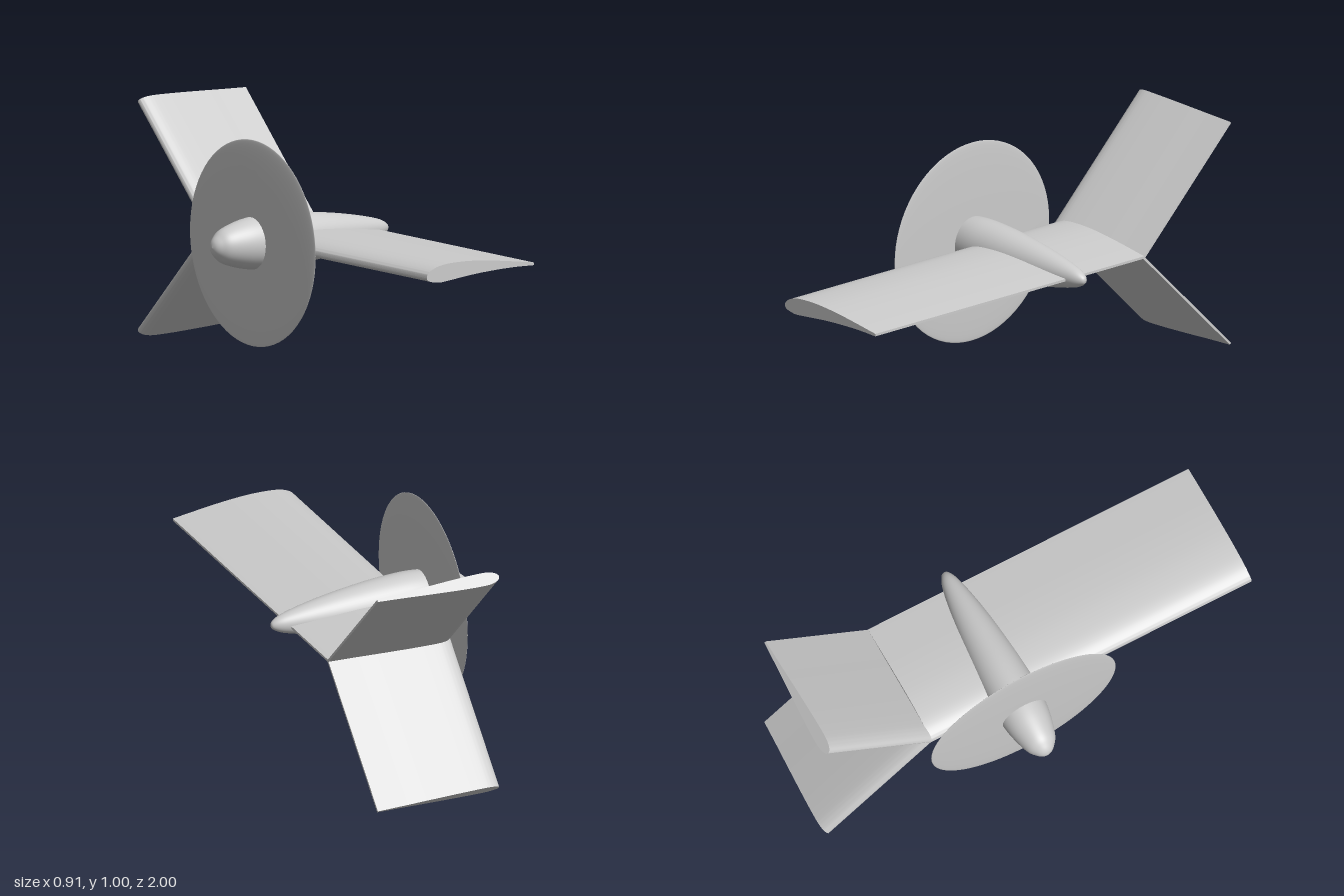
import * as THREE from 'three';
import { toCreasedNormals } from 'three/addons/utils/BufferGeometryUtils.js';

const material = new THREE.MeshStandardMaterial({ color: 0xcccccc });

function mesh(name, geometry) {
  const m = new THREE.Mesh(geometry, material);
  m.name = name;
  return m;
}

// Constant-section foil: outline runs upper trailing edge -> nose -> lower trailing edge
function foil(points, span) {
  const outline = points.map(([x, y]) => new THREE.Vector2(x, y));
  const shape = new THREE.Shape(new THREE.SplineCurve(outline).getPoints(72));
  const geometry = new THREE.ExtrudeGeometry(shape, { depth: span, bevelEnabled: false });
  return toCreasedNormals(geometry, 0.7);
}

export function createModel() {
  const group = new THREE.Group();
  group.name = 'turbine';
  const axisY = 0.504, jointZ = -0.498;
  const hubY = 0.511, hubZ = -0.103;

  // Cambered main wing
  const wing = mesh('mainWing', foil([
    [0.378, 0.008], [0.365, 0.010], [0.245, 0.027], [0.139, 0.040], [0.032, 0.048],
    [-0.061, 0.047], [-0.115, 0.040], [-0.15, 0.027], [-0.169, 0.013], [-0.176, -0.002],
    [-0.165, -0.018], [-0.115, -0.028], [-0.061, -0.024], [0.072, -0.010],
    [0.192, -0.003], [0.285, -0.001], [0.378, -0.003],
  ], 1 - jointZ));
  wing.position.set(0, axisY, jointZ);
  group.add(wing);

  // Two symmetric tail fins forming a V behind the wing
  const half = [[0.378, 0.005], [0.26, 0.011], [0.15, 0.018], [0, 0.026],
    [-0.1, 0.0285], [-0.14, 0.025], [-0.166, 0.015]];
  const finOutline = [...half, [-0.176, 0], ...half.map(([x, y]) => [x, -y]).reverse()];
  for (const [name, side] of [['upperFin', 1], ['lowerFin', -1]]) {
    const fin = mesh(name, foil(finOutline, 0.681));
    fin.rotation.x = -side * Math.PI * 0.75;
    fin.position.set(0, axisY, jointZ);
    group.add(fin);
  }

  // Teardrop nacelle, turned around the x axis
  const profile = new THREE.SplineCurve([
    [0, -0.455], [0.025, -0.448], [0.047, -0.43], [0.073, -0.395], [0.097, -0.32],
    [0.109, -0.253], [0.115, -0.175], [0.113, -0.09], [0.107, 0], [0.096, 0.1],
    [0.082, 0.2], [0.064, 0.3], [0.046, 0.378], [0.032, 0.42], [0.015, 0.446], [0, 0.452],
  ].map(([r, x]) => new THREE.Vector2(r, x))).getPoints(75);
  profile.forEach((p) => { p.x = Math.max(p.x, 0); });
  const nacelleGeometry = new THREE.LatheGeometry(profile, 56);
  nacelleGeometry.rotateZ(-Math.PI / 2);
  nacelleGeometry.scale(1, 1, 0.93);
  const nacelle = mesh('nacelle', nacelleGeometry);
  nacelle.position.set(0, hubY, hubZ);
  group.add(nacelle);

  // Thin lens-shaped rotor disc
  const discGeometry = new THREE.SphereGeometry(1, 72, 32);
  discGeometry.rotateZ(-Math.PI / 2);
  discGeometry.scale(0.01, 0.431, 0.431);
  const disc = mesh('rotorDisc', discGeometry);
  disc.position.set(-0.243, hubY, hubZ);
  group.add(disc);

  return group;
}
